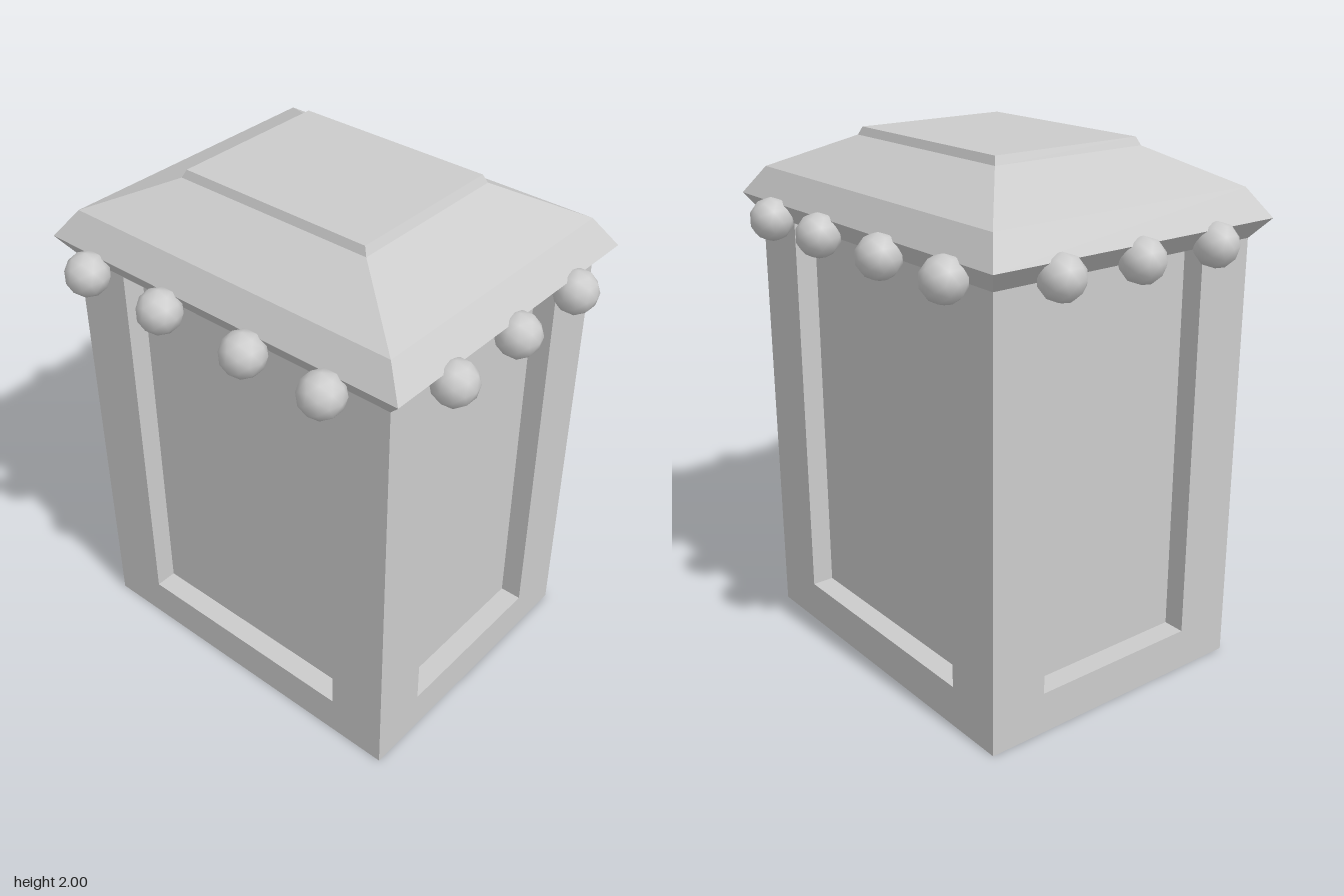
import * as THREE from 'three';

const grey = new THREE.MeshStandardMaterial({ color: 0xcccccc });
const HX = 0.71, HZ = 0.57, WALL_TOP = 1.66, SILL = 0.16, RECESS = 0.085;

function add(parent, name, geometry, x = 0, y = 0, z = 0) {
  const mesh = new THREE.Mesh(geometry, grey);
  mesh.name = name;
  mesh.position.set(x, y, z);
  parent.add(mesh);
  return mesh;
}

// Closed stack of rectangles, each given as [half width, y, half depth]
function rectLoft(rings) {
  const corners = [[1, 1], [1, -1], [-1, -1], [-1, 1]];
  const at = (r, i) => {
    const [sx, sz] = corners[i % 4];
    return [sx * r[0], r[1], sz * r[2]];
  };
  const p = [];
  const quad = (a, b, c, d) => p.push(...a, ...b, ...c, ...a, ...c, ...d);
  for (let k = 0; k < rings.length - 1; k++) {
    const lo = rings[k], hi = rings[k + 1];
    for (let i = 0; i < 4; i++) quad(at(lo, i), at(lo, i + 1), at(hi, i + 1), at(hi, i));
  }
  const first = rings[0], last = rings[rings.length - 1];
  quad(at(first, 3), at(first, 2), at(first, 1), at(first, 0));
  quad(at(last, 0), at(last, 1), at(last, 2), at(last, 3));
  const g = new THREE.BufferGeometry();
  g.setAttribute('position', new THREE.Float32BufferAttribute(p, 3));
  g.computeVertexNormals();
  return g;
}

// U-shaped wall frame around a recessed panel, open at the top under the eaves
function frameGeometry(half, openHalf) {
  const s = new THREE.Shape([
    [-half, 0], [half, 0], [half, WALL_TOP], [openHalf, WALL_TOP],
    [openHalf, SILL], [-openHalf, SILL], [-openHalf, WALL_TOP], [-half, WALL_TOP],
  ].map(([x, y]) => new THREE.Vector2(x, y)));
  return new THREE.ExtrudeGeometry(s, { depth: RECESS, bevelEnabled: false });
}

export function createModel() {
  const model = new THREE.Group();
  model.name = 'lantern';
  const housing = new THREE.Group();
  housing.name = 'housing';
  housing.position.set(-0.01, 0, -0.007);
  model.add(housing);

  // Core whose faces form the recessed panels
  add(housing, 'panelCore',
    new THREE.BoxGeometry(2 * (HX - RECESS), WALL_TOP, 2 * (HZ - RECESS)), 0, WALL_TOP / 2, 0);

  // Frames on the four walls
  const longFrame = frameGeometry(HX, 0.478);
  const shortFrame = frameGeometry(HZ - RECESS, 0.343);
  for (let i = 0; i < 4; i++) {
    const side = new THREE.Group();
    side.name = ['frontWall', 'leftWall', 'backWall', 'rightWall'][i];
    side.rotation.y = i * Math.PI / 2;
    housing.add(side);
    const short = i % 2 === 1;
    add(side, 'wallFrame', short ? shortFrame : longFrame, 0, 0, (short ? HX : HZ) - RECESS);
  }

  // Flared eaves, steep skirt, hipped roof and low top plate
  add(housing, 'roof', rectLoft([
    [HX, WALL_TOP, HZ],
    [0.775, 1.735, 0.62],
    [0.695, 1.84, 0.558],
    [0.408, 1.97, 0.325],
    [0.393, 2.0, 0.313],
  ]));

  // Beads hanging along the eaves
  const beads = new THREE.Group();
  beads.name = 'beads';
  model.add(beads);
  const bead = new THREE.IcosahedronGeometry(0.082, 1);
  for (const s of [1, -1]) {
    for (const x of [-0.57, -0.21, 0.172, 0.502]) add(beads, 'bead', bead, x, 1.68, s * 0.65);
    for (const z of [-0.352, -0.008, 0.337]) add(beads, 'bead', bead, s * 0.775 - 0.003, 1.68, z);
  }
  return model;
}
